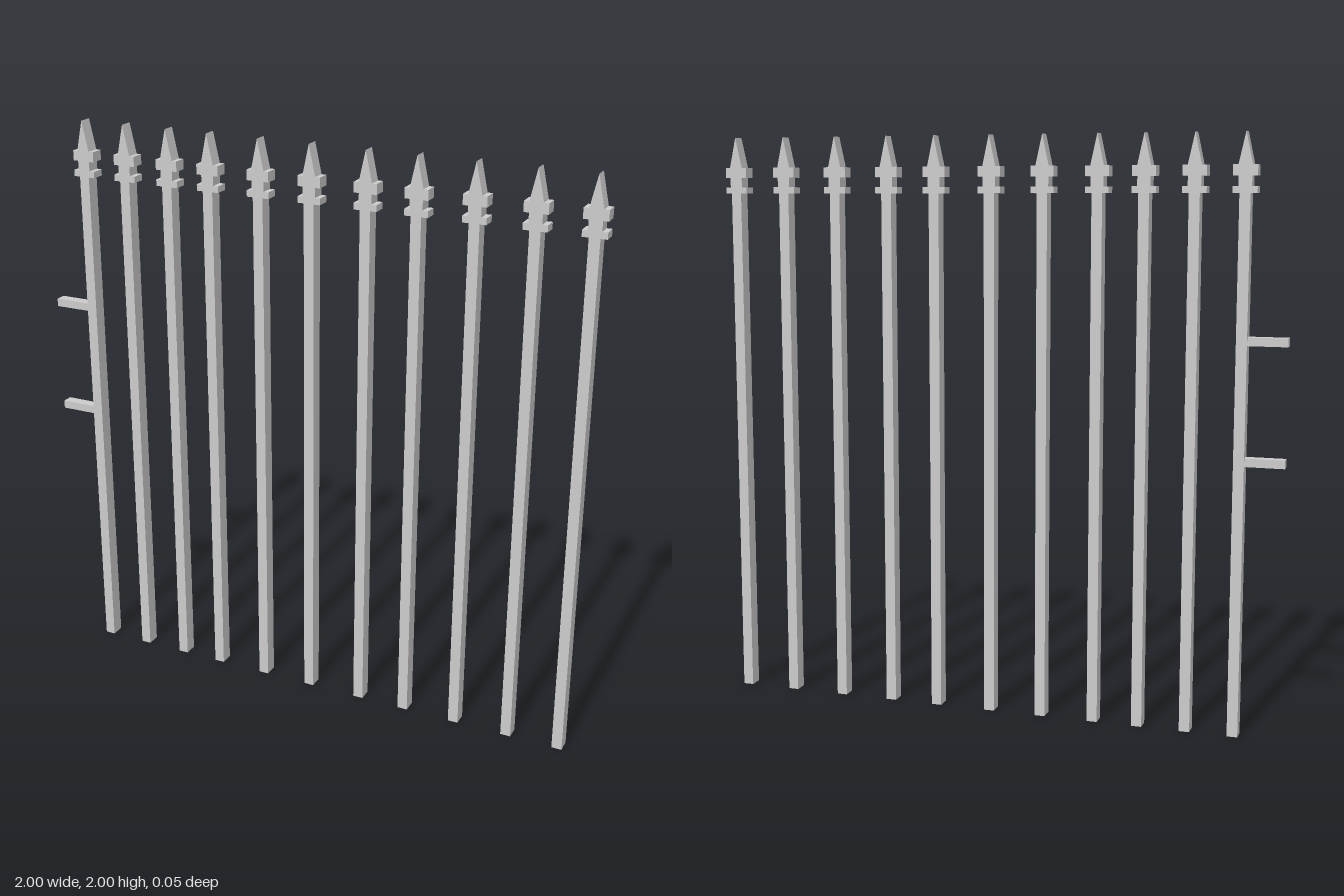
import * as THREE from 'three';

const DEPTH = 0.048;
const POST_X = [-0.85, -0.687, -0.521, -0.364, -0.176, 0.01, 0.208, 0.382, 0.575, 0.77, 0.955];

// Right half of the picket outline, bottom to tip: pole, two collars, spear point
const HALF = [
  [0.018, 0], [0.018, 1.805],
  [0.04, 1.805], [0.04, 1.827],
  [0.022, 1.827], [0.022, 1.86],
  [0.04, 1.86], [0.04, 1.895],
  [0.023, 1.895],
];

function picketGeometry() {
  const right = HALF.map(([x, y]) => new THREE.Vector2(x, y));
  const left = HALF.map(([x, y]) => new THREE.Vector2(-x, y)).reverse();
  const shape = new THREE.Shape([...right, new THREE.Vector2(0, 2), ...left]);
  const geometry = new THREE.ExtrudeGeometry(shape, { depth: DEPTH, bevelEnabled: false });
  return geometry.translate(0, 0, -DEPTH / 2);
}

export function createModel() {
  const model = new THREE.Group();
  model.name = 'fence';
  const material = new THREE.MeshStandardMaterial({ color: 0xcccccc, flatShading: true });

  // Row of flat, spear-topped pickets
  const picket = picketGeometry();
  POST_X.forEach((x, i) => {
    const mesh = new THREE.Mesh(picket, material);
    mesh.name = `picket${i + 1}`;
    mesh.position.x = x;
    model.add(mesh);
  });

  // Two short rail stubs beside the end picket
  const stub = new THREE.BoxGeometry(0.135, 0.028, 0.038);
  [['lowerRail', 0.934], ['upperRail', 1.33]].forEach(([name, y]) => {
    const mesh = new THREE.Mesh(stub, material);
    mesh.name = name;
    mesh.position.set(-0.9325, y, 0);
    model.add(mesh);
  });

  return model;
}
